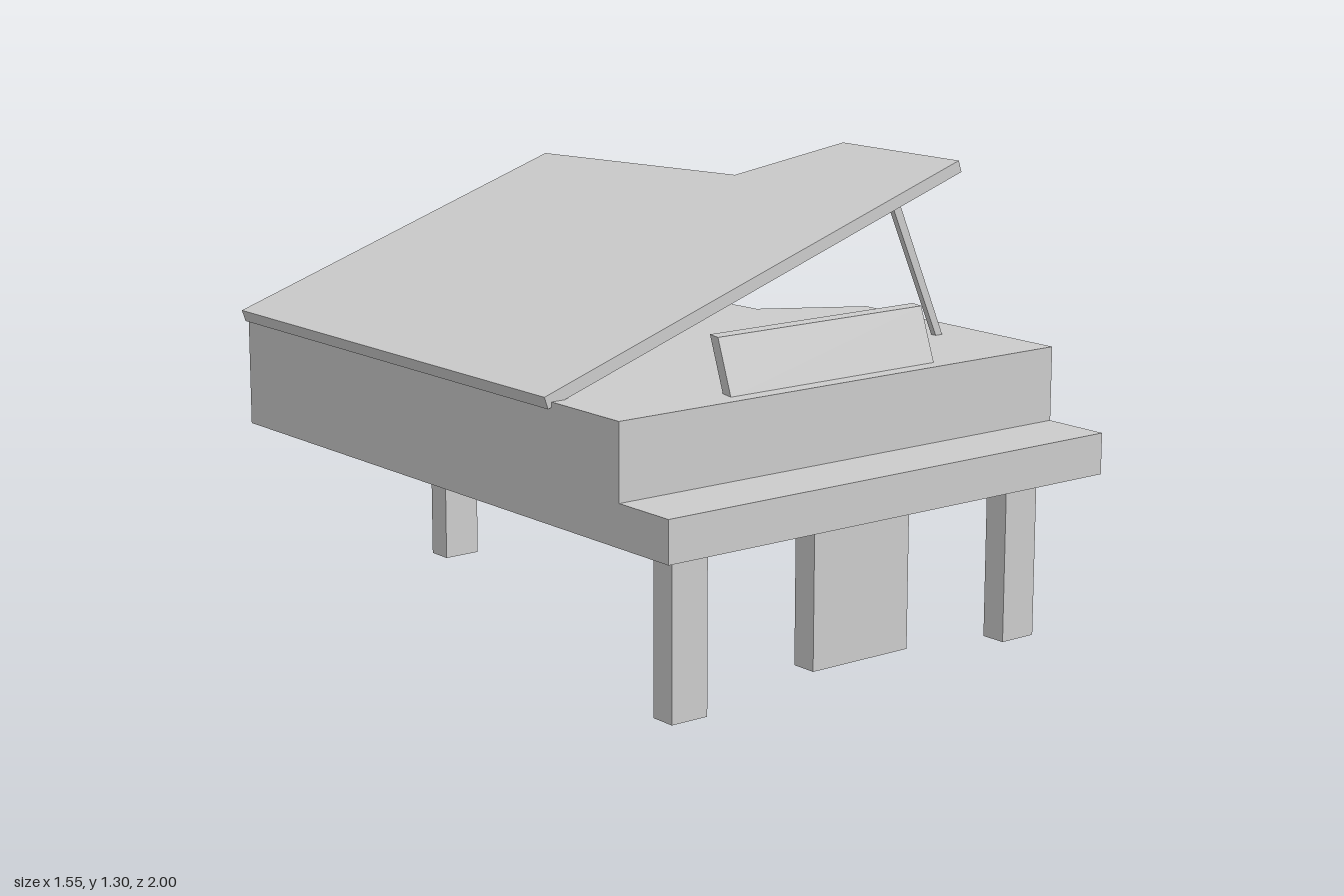
import * as THREE from 'three';

const material = new THREE.MeshStandardMaterial({ color: 0xcccccc, flatShading: true });

function part(name, geometry) {
  const mesh = new THREE.Mesh(geometry, material);
  mesh.name = name;
  return mesh;
}

// Box given by its limits on each axis
function block(name, [x0, x1], [y0, y1], [z0, z1]) {
  const geometry = new THREE.BoxGeometry(x1 - x0, y1 - y0, z1 - z0);
  geometry.translate((x0 + x1) / 2, (y0 + y1) / 2, (z0 + z1) / 2);
  return part(name, geometry);
}

function extrude(points, depth) {
  const shape = new THREE.Shape(points.map(([x, y]) => new THREE.Vector2(x, y)));
  return new THREE.ExtrudeGeometry(shape, { depth, bevelEnabled: false });
}

// Horizontal slab with the piano's stepped plan; x runs from the hinge side
function planSlab(frontZ, height) {
  const plan = [[0, frontZ], [1.523, frontZ], [1.523, 0.025], [1.237, -0.145], [1.168, -1], [0, -1]];
  return extrude(plan.map(([x, z]) => [x, -z]), height).rotateX(-Math.PI / 2);
}

export function createModel() {
  const piano = new THREE.Group();
  piano.name = 'grandPiano';

  // Case and keyboard shelf
  piano.add(part('case', planSlab(0.8, 0.328).translate(-0.753, 0.473, 0)));
  piano.add(block('keyboardShelf', [-0.753, 0.77], [0.473, 0.59], [0.8, 1]));

  // Raised lid, hinged along the straight side
  const lid = part('lid', planSlab(0.515, 0.035));
  lid.position.set(-0.764, 0.783, 0);
  lid.rotation.z = Math.atan2(0.487, 1.447);
  piano.add(lid);

  // Slanted stick holding the lid up
  const stick = [[0.45, 1.19], [0.625, 0.8], [0.65, 0.8], [0.475, 1.2]];
  piano.add(part('lidProp', extrude(stick, 0.018).translate(0, 0, 0.463)));

  // Music desk: a board leaning back, with slightly skewed ends
  const desk = extrude([[-0.355, 0.8], [0.36, 0.8], [0.36, 0.95], [-0.355, 0.95]], 0.045);
  desk.applyMatrix4(new THREE.Matrix4().set(
    1, 0, -0.22, 0.01,
    0, 1, 0, 0,
    0, -0.36, 1, 0.71 + 0.36 * 0.8,
    0, 0, 0, 1));
  desk.computeVertexNormals();
  piano.add(part('musicDesk', desk));

  // Three legs and the pedal panel
  const legs = [['frontRightLeg', -0.578, 0.828], ['frontLeftLeg', 0.597, 0.828], ['backLeg', -0.128, -0.857]];
  for (const [name, x, z] of legs) {
    piano.add(block(name, [x - 0.058, x + 0.058], [0, 0.473], [z - 0.038, z + 0.038]));
  }
  piano.add(block('pedalPanel', [-0.16, 0.175], [0.05, 0.473], [0.79, 0.866]));

  return piano;
}
